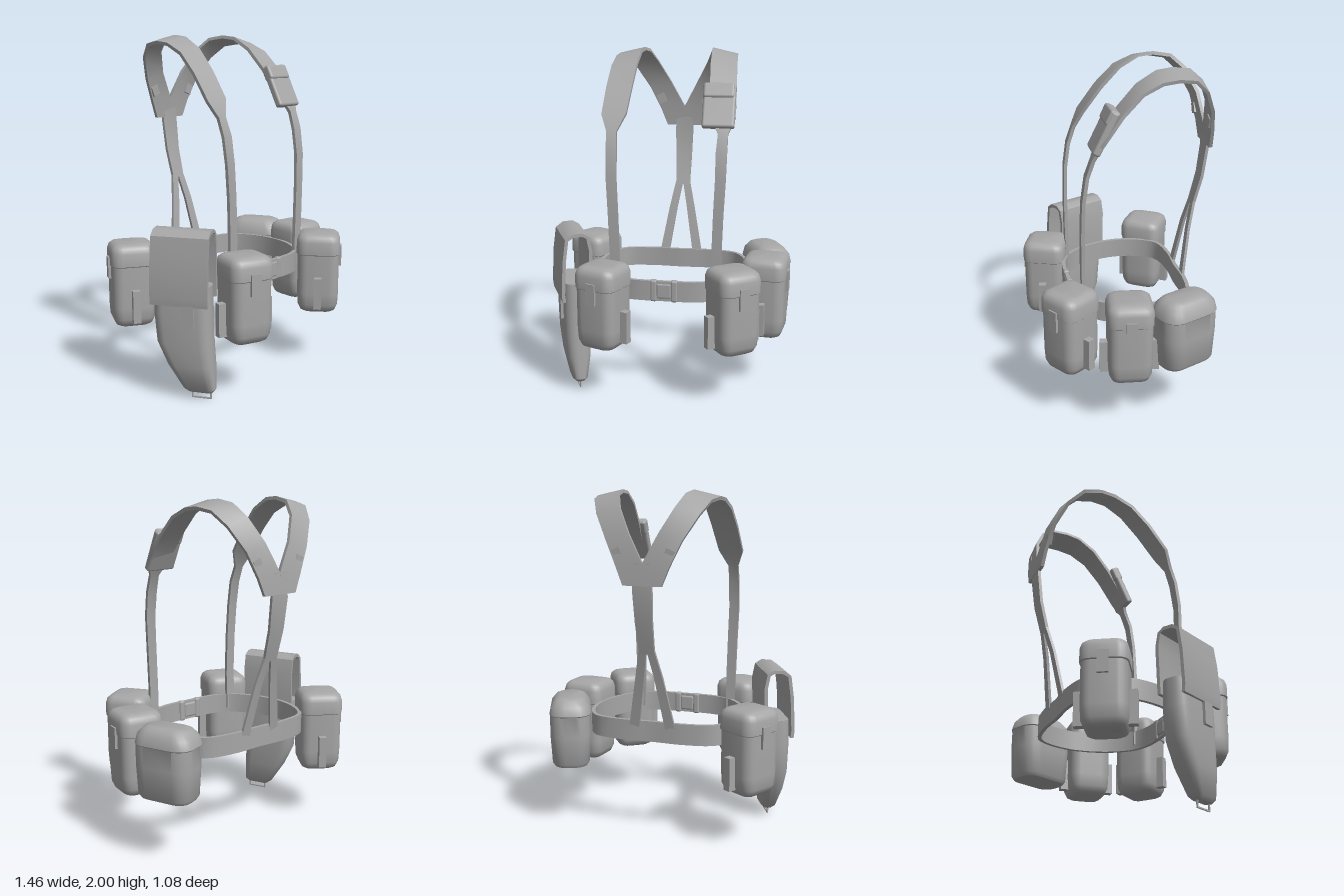
import * as THREE from 'three';
import { toCreasedNormals } from 'three/addons/utils/BufferGeometryUtils.js';
import { RoundedBoxGeometry } from 'three/addons/geometries/RoundedBoxGeometry.js';

const fabric = new THREE.MeshStandardMaterial({ color: 0xa6a6a6 });
fabric.name = 'grey fabric';
const V = (x, y, z) => new THREE.Vector3(x, y, z);

function add(parent, name, geometry, x = 0, y = 0, z = 0) {
  const mesh = new THREE.Mesh(geometry, fabric);
  mesh.name = name;
  mesh.position.set(x, y, z);
  parent.add(mesh);
  return mesh;
}

// Skins a row of rings (clockwise seen along the row), capped unless closed
function skin(rings, closed = false, crease = 0.7) {
  const pos = [];
  const tri = (...pts) => pts.forEach((p) => pos.push(p.x, p.y, p.z));
  const n = rings[0].length, count = rings.length;
  for (let i = 0; i < (closed ? count : count - 1); i++) {
    const r = rings[i], s = rings[(i + 1) % count];
    for (let j = 0; j < n; j++) {
      const k = (j + 1) % n;
      tri(r[j], s[j], s[k]);
      tri(r[j], s[k], r[k]);
    }
  }
  if (!closed) {
    const first = rings[0], last = rings[count - 1];
    for (let j = 1; j < n - 1; j++) {
      tri(first[0], first[j], first[j + 1]);
      tri(last[0], last[j + 1], last[j]);
    }
  }
  const geometry = new THREE.BufferGeometry();
  geometry.setAttribute('position', new THREE.Float32BufferAttribute(pos, 3));
  return toCreasedNormals(geometry, crease);
}

// Flat strap between two edge points per row
function ribbon(rows, thickness, closed = false) {
  const count = rows.length;
  const mid = rows.map(([a, b]) => a.clone().add(b).multiplyScalar(0.5));
  const at = (i) => mid[closed ? (i + count) % count : Math.min(Math.max(i, 0), count - 1)];
  const rings = rows.map(([a, b], i) => {
    const n = at(i + 1).clone().sub(at(i - 1)).cross(b.clone().sub(a)).normalize().multiplyScalar(thickness / 2);
    return [a.clone().add(n), b.clone().add(n), b.clone().sub(n), a.clone().sub(n)];
  });
  return skin(rings, closed);
}

// Upright body with rounded-rectangle layers: [y, half width, half depth, corner radius, x shift]
function loft(layers) {
  return skin(layers.map(([y, hx, hz, r, cx = 0]) => {
    const ring = [];
    for (let q = 0; q < 4; q++) {
      const sx = q === 0 || q === 3 ? 1 : -1, sz = q < 2 ? 1 : -1;
      for (let k = 0; k <= 5; k++) {
        const a = (q + k / 5) * Math.PI / 2;
        ring.push(V(cx + sx * (hx - r) + r * Math.cos(a), y, sz * (hz - r) + r * Math.sin(a)));
      }
    }
    return ring;
  }));
}

function placed(parent, name, x, z, degrees) {
  const group = new THREE.Group();
  group.name = name;
  group.position.set(x, 0, z);
  group.rotation.y = THREE.MathUtils.degToRad(degrees);
  parent.add(group);
  return group;
}

function addBelt(model) {
  const half = [[0.2, 0.3], [0.31, 0.245], [0.41, 0.1], [0.45, -0.08], [0.42, -0.24], [0.35, -0.34], [0.18, -0.375]];
  const points = [V(0, 0, 0.31), ...half.map(([x, z]) => V(x, 0, z)), V(0, 0, -0.37),
    ...half.slice().reverse().map(([x, z]) => V(-x, 0, z))];
  const curve = new THREE.CatmullRomCurve3(points, true);
  const rows = [];
  for (let i = 0; i < 56; i++) {
    const p = curve.getPoint(i / 56);
    rows.push([V(p.x, 0.59, p.z), V(p.x, 0.71, p.z)]);
  }
  add(model, 'belt', ribbon(rows, 0.022, true));
  add(model, 'buckle', new RoundedBoxGeometry(0.085, 0.09, 0.035, 2, 0.01), 0, 0.65, 0.308);
  for (const s of [-1, 1]) {
    add(model, 'buckleSleeve', new RoundedBoxGeometry(0.04, 0.13, 0.036, 2, 0.012), s * 0.06, 0.65, 0.308);
  }
}

function addSuspenders(model) {
  // Inner x, y and outer x, y, then z, from the front belt over the shoulder to the back
  const path = [
    [0.27, 0.62, 0.33, 0.62, 0.26], [0.268, 0.85, 0.325, 0.85, 0.268], [0.275, 1.1, 0.333, 1.1, 0.268],
    [0.283, 1.3, 0.343, 1.3, 0.262], [0.283, 1.45, 0.346, 1.45, 0.24], [0.29, 1.55, 0.347, 1.55, 0.205],
    [0.24, 1.65, 0.385, 1.64, 0.16], [0.225, 1.8, 0.378, 1.79, 0.05], [0.215, 1.92, 0.37, 1.9, -0.06],
    [0.21, 1.985, 0.362, 1.95, -0.17], [0.205, 1.995, 0.358, 1.96, -0.26], [0.19, 1.98, 0.335, 1.945, -0.36],
    [0.155, 1.91, 0.29, 1.87, -0.44], [0.085, 1.78, 0.215, 1.74, -0.5], [0, 1.62, 0.15, 1.6, -0.523],
    [0, 1.5, 0.11, 1.5, -0.53],
  ];
  for (const s of [-1, 1]) {
    const rows = path.map(([ix, iy, ox, oy, z]) => [V(s * ix, iy, z), V(s * ox, oy, z)]);
    add(model, 'shoulderStrap', ribbon(rows, 0.02));
    add(model, 'backLeg', ribbon([
      [V(0, 1.14, -0.463), V(s * 0.045, 1.14, -0.463)],
      [V(s * 0.03, 0.98, -0.425), V(s * 0.08, 0.98, -0.425)],
      [V(s * 0.08, 0.66, -0.375), V(s * 0.14, 0.66, -0.375)]], 0.016));
    const clip = add(model, 'strapClip', new THREE.BoxGeometry(0.05, 0.06, 0.03), s * 0.145, 1.67, -0.508);
    clip.rotation.z = -s * 0.4;
  }
  const stem = [[1.62, 0.045, -0.524], [1.48, 0.056, -0.528], [1.3, 0.05, -0.505], [1.12, 0.044, -0.458]];
  add(model, 'backStem', ribbon(stem.map(([y, w, z]) => [V(-w, y, z), V(w, y, z)]), 0.018));

  // Small pocket on the left strap
  const pocket = placed(model, 'strapPocket', 0.288, 0.14, 0);
  pocket.position.y = 1.7;
  pocket.rotation.x = -0.46;
  add(pocket, 'pocketBody', new RoundedBoxGeometry(0.185, 0.26, 0.045, 2, 0.015));
  add(pocket, 'pocketFlap', new RoundedBoxGeometry(0.178, 0.09, 0.058, 2, 0.015), -0.004, 0.088, 0.002);
}

function addPouch(model, x, z, degrees) {
  const pouch = placed(model, 'pouch', x, z, degrees);
  const layers = [[0.332, 0.085], [0.345, 0.106], [0.38, 0.121], [0.45, 0.125], [0.692, 0.125],
    [0.697, 0.131], [0.77, 0.131], [0.8, 0.122], [0.815, 0.105], [0.822, 0.08]];
  add(pouch, 'pouchBody', loft(layers.map(([y, h]) => [y, h, h, h * 0.46])));
  add(pouch, 'pouchLatch', new THREE.BoxGeometry(0.06, 0.125, 0.02), 0, 0.675, 0.131);
  for (const s of [-1, 1]) {
    add(pouch, 'sideTab', new THREE.BoxGeometry(0.055, 0.19, 0.045), s * 0.14, 0.465, 0);
  }
}

function addCanteen(model) {
  const canteen = placed(model, 'canteenPouch', 0.56, -0.265, 113);
  add(canteen, 'canteenBody', loft([[0.388, 0.155, 0.095, 0.07], [0.41, 0.168, 0.11, 0.08],
    [0.58, 0.178, 0.12, 0.09], [0.7, 0.178, 0.118, 0.088], [0.705, 0.182, 0.122, 0.09],
    [0.755, 0.17, 0.112, 0.085], [0.79, 0.14, 0.085, 0.07], [0.802, 0.11, 0.06, 0.05]]));
}

function addHolster(model) {
  const holster = placed(model, 'holster', -0.58, 0.16, -64.5);
  add(holster, 'holsterBody', loft([[0.045, 0.07, 0.025, 0.022, 0.095], [0.065, 0.092, 0.045, 0.04, 0.09],
    [0.2, 0.135, 0.07, 0.06, 0.045], [0.33, 0.16, 0.078, 0.065, 0.01], [0.5, 0.165, 0.08, 0.065, 0],
    [0.66, 0.16, 0.075, 0.06, 0]]));
  // Open-ended flap arching over the top
  const arch = [[-0.07, 0.58], [-0.078, 0.86], [-0.062, 0.94], [-0.03, 0.958], [0.025, 0.955],
    [0.062, 0.93], [0.08, 0.8], [0.09, 0.6], [0.085, 0.555]];
  add(holster, 'holsterFlap', ribbon(arch.map(([z, y]) => [V(-0.165, y, z), V(0.165, y, z)]), 0.02));
  add(holster, 'flapClosure', new THREE.BoxGeometry(0.07, 0.13, 0.025), 0.05, 0.495, 0.083);
  // Wire loop at the tip
  add(holster, 'tipLoop', new THREE.BoxGeometry(0.115, 0.008, 0.008), 0.1, 0.008, 0);
  for (const s of [-1, 1]) {
    add(holster, 'tipLoopSide', new THREE.BoxGeometry(0.008, 0.045, 0.008), 0.1 + s * 0.054, 0.0265, 0);
  }
}

export function createModel() {
  const model = new THREE.Group();
  model.name = 'loadBearingHarness';
  addBelt(model);
  addSuspenders(model);
  addPouch(model, -0.34, 0.39, -20);
  addPouch(model, 0.4, 0.36, 35);
  addPouch(model, 0.57, 0.055, 83);
  addPouch(model, -0.545, -0.305, -122);
  addCanteen(model);
  addHolster(model);
  return model;
}
